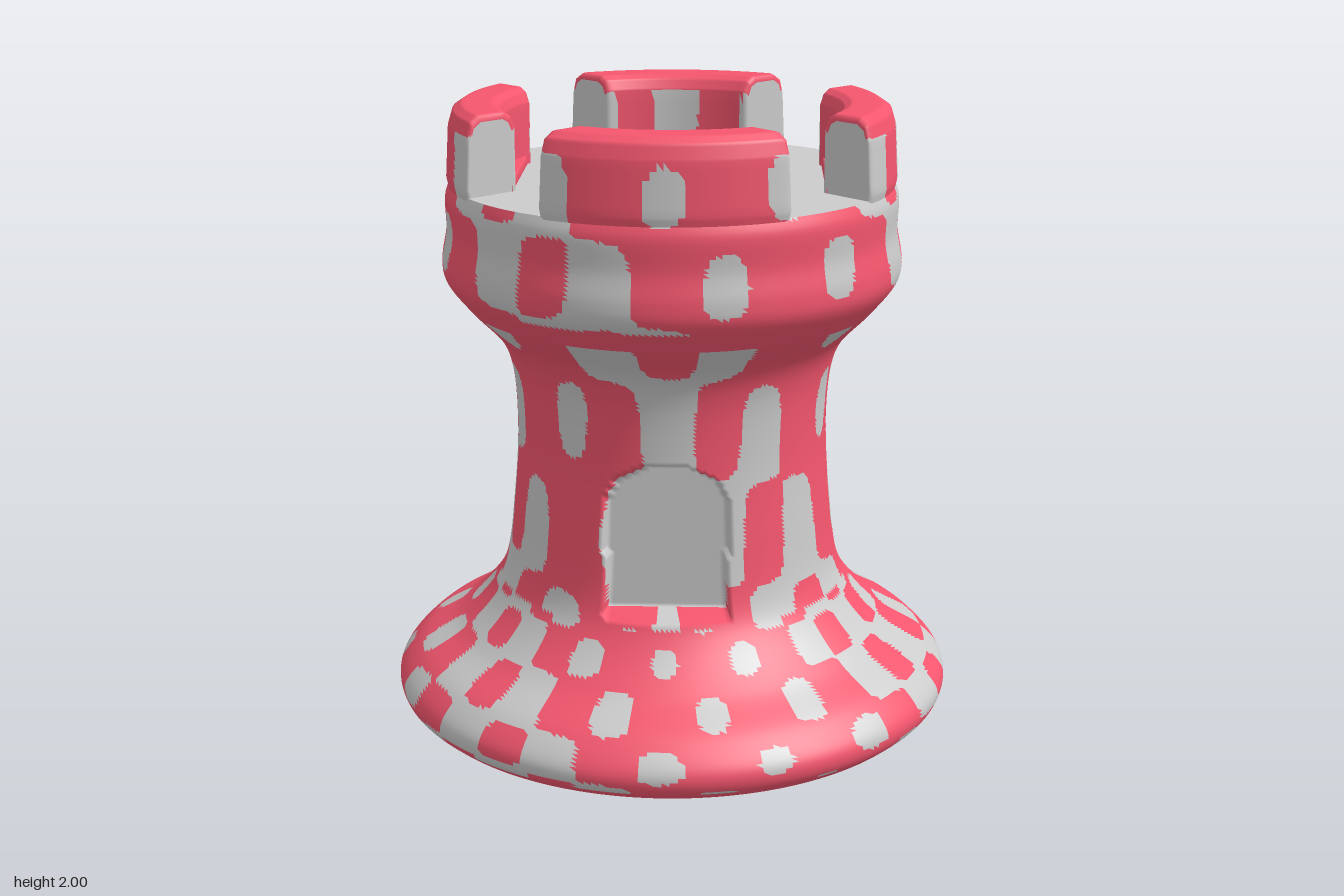
import * as THREE from 'three';
import { mergeVertices } from 'three/addons/utils/BufferGeometryUtils.js';

const pink = new THREE.MeshStandardMaterial({ color: 0xf5566e });
const grey = new THREE.MeshStandardMaterial({ color: 0xcccccc });
const NOTCH = 0.17; // half width of the diagonal notches

// openings cut into the wall
function inDoor(x, y, z) {
  if (z < 0 || y < 0.45 || Math.abs(x) > 0.19) return false;
  return y < 0.8 || (x / 0.19) ** 2 + ((y - 0.8) / 0.14) ** 2 < 1;
}
const inSlit = (across, y) => Math.abs(across) < 0.052 && y > 0.93 && y < 1.22 &&
  (Math.abs(across) < 0.035 || (y > 0.95 && y < 1.2));
const inSideSlit = (x, y, z) => Math.abs(x) > 0.3 && inSlit(z, y);
const inBackSlit = (x, y, z) => z < -0.3 && inSlit(x, y);

// patchy two-tone paint
function isPink(x, y, z) {
  if (inDoor(x, y, z) || inSideSlit(x, y, z) || inBackSlit(x, y, z)) return false;
  if (y > 1.94 || y < 0.03 || (y > 1.35 && y < 1.42)) return true;
  const a = Math.atan2(x, z);
  const [n, k] = y < 0.42 ? [16, 28] : y < 1.38 ? [10, 9] : [12, 12];
  return Math.cos(n * a) * Math.cos(k * y) + 0.35 * Math.sin(3 * a + 4 * y) > -0.2;
}

// grid surface, split into pink and grey meshes that share their vertices
function paintedSurface(name, cols, rows, point) {
  const pos = [], index = [];
  for (let i = 0; i <= rows; i++)
    for (let j = 0; j <= cols; j++) pos.push(...point(j, i));
  for (let i = 0; i < rows; i++)
    for (let j = 0; j < cols; j++) {
      const a = i * (cols + 1) + j, c = a + cols + 1;
      index.push(a, a + 1, c, a + 1, c + 1, c);
    }
  let geo = new THREE.BufferGeometry();
  geo.setAttribute('position', new THREE.Float32BufferAttribute(pos, 3));
  geo.setIndex(index);
  geo = mergeVertices(geo);
  geo.computeVertexNormals();
  const p = geo.attributes.position, ids = geo.index.array;
  const faces = { pink: [], grey: [] };
  for (let f = 0; f < ids.length; f += 3) {
    const t = [ids[f], ids[f + 1], ids[f + 2]];
    const mid = (get) => t.reduce((s, v) => s + get(v), 0) / 3;
    const hit = isPink(mid((v) => p.getX(v)), mid((v) => p.getY(v)), mid((v) => p.getZ(v)));
    faces[hit ? 'pink' : 'grey'].push(...t);
  }
  const group = new THREE.Group();
  group.name = name;
  for (const [key, material] of [['pink', pink], ['grey', grey]]) {
    const part = geo.clone();
    part.setIndex(faces[key]);
    const mesh = new THREE.Mesh(part, material);
    mesh.name = `${name} ${key} patches`;
    group.add(mesh);
  }
  return group;
}

// flared base, waisted wall and overhanging crown, with door and slits pushed in
function createWall() {
  const profile = new THREE.CatmullRomCurve3([
    [0.88, 0], [0.92, 0.04], [0.925, 0.09], [0.86, 0.17], [0.72, 0.26], [0.61, 0.37],
    [0.56, 0.46], [0.525, 0.7], [0.51, 0.95], [0.525, 1.15], [0.56, 1.24], [0.67, 1.36],
    [0.735, 1.45], [0.74, 1.51], [0.725, 1.6], [0.725, 1.71], [0.71, 1.75],
  ].map(([r, y]) => new THREE.Vector3(r, y, 0))).getSpacedPoints(150);
  const cols = 240;
  return paintedSurface('wall', cols, 150, (j, i) => {
    const a = (j / cols) * Math.PI * 2;
    const { x: r, y } = profile[i];
    let x = r * Math.sin(a), z = r * Math.cos(a);
    if (inDoor(x, y, z)) z = Math.min(z, 0.45);
    else if (inSideSlit(x, y, z)) x = Math.sign(x) * 0.43;
    else if (inBackSlit(x, y, z)) z = -0.49;
    return [x, y, z];
  });
}

// curved battlement block with softened edges and parallel-sided notches
function createMerlon(q) {
  const corners = [
    [0.705, 1.7], [0.72, 1.77], [0.71, 1.93], [0.695, 1.98], [0.665, 2], [0.57, 2],
    [0.545, 1.985], [0.53, 1.95], [0.53, 1.7],
  ];
  const loop = [];
  corners.forEach(([r, y], n) => {
    const [r2, y2] = corners[(n + 1) % corners.length];
    for (let k = 0; k < 6; k++) loop.push([r + (r2 - r) * k / 6, y + (y2 - y) * k / 6]);
  });
  // columns: [position across the block, scale of the section]
  const cols = [[-1, 0], [-1, 0.86], [-1, 0.9], [-0.99, 0.97]];
  for (let k = 0; k <= 36; k++) cols.push([-0.955 + 1.91 * k / 36, 1]);
  cols.push([0.99, 0.97], [1, 0.9], [1, 0.86], [1, 0]);
  return paintedSurface('merlon', cols.length - 1, loop.length, (j, i) => {
    const [s, k] = cols[j];
    const [lr, ly] = loop[i % loop.length];
    const r = 0.62 + (lr - 0.62) * k, y = 1.85 + (ly - 1.85) * k;
    const a = s * (Math.PI / 4 - Math.asin(NOTCH / r)) + q * Math.PI / 2;
    return [r * Math.sin(a), y, r * Math.cos(a)];
  });
}

// raised floor wedge between the arms of the cross
function createWedge(q) {
  const b = 0.02, r = 0.54, half = Math.PI / 4 - Math.asin(NOTCH / r);
  const shape = new THREE.Shape();
  shape.moveTo(0, -NOTCH * Math.SQRT2 - b * Math.SQRT2);
  shape.absarc(0, 0, r, -Math.PI / 2 - half + 0.04, -Math.PI / 2 + half - 0.04, false);
  shape.closePath();
  const geo = new THREE.ExtrudeGeometry(shape, {
    depth: 0.02, bevelThickness: 0.02, bevelSize: b, bevelSegments: 3, curveSegments: 16,
  });
  geo.rotateX(-Math.PI / 2);
  geo.translate(0, 1.74, 0);
  geo.rotateY(q * Math.PI / 2);
  const mesh = new THREE.Mesh(geo, pink);
  mesh.name = 'floorWedge';
  return mesh;
}

export function createModel() {
  const model = new THREE.Group();
  model.name = 'tower';
  model.add(createWall());

  // underside
  const underside = new THREE.Mesh(new THREE.CircleGeometry(0.88, 96).rotateX(Math.PI / 2), pink);
  underside.name = 'underside';

  // roof floor, seen as a cross between the wedges
  const floor = new THREE.Mesh(new THREE.CircleGeometry(0.71, 96).rotateX(-Math.PI / 2), grey);
  floor.position.y = 1.75;
  floor.name = 'roofFloor';
  model.add(underside, floor);

  for (let q = 0; q < 4; q++) model.add(createMerlon(q), createWedge(q));
  return model;
}
